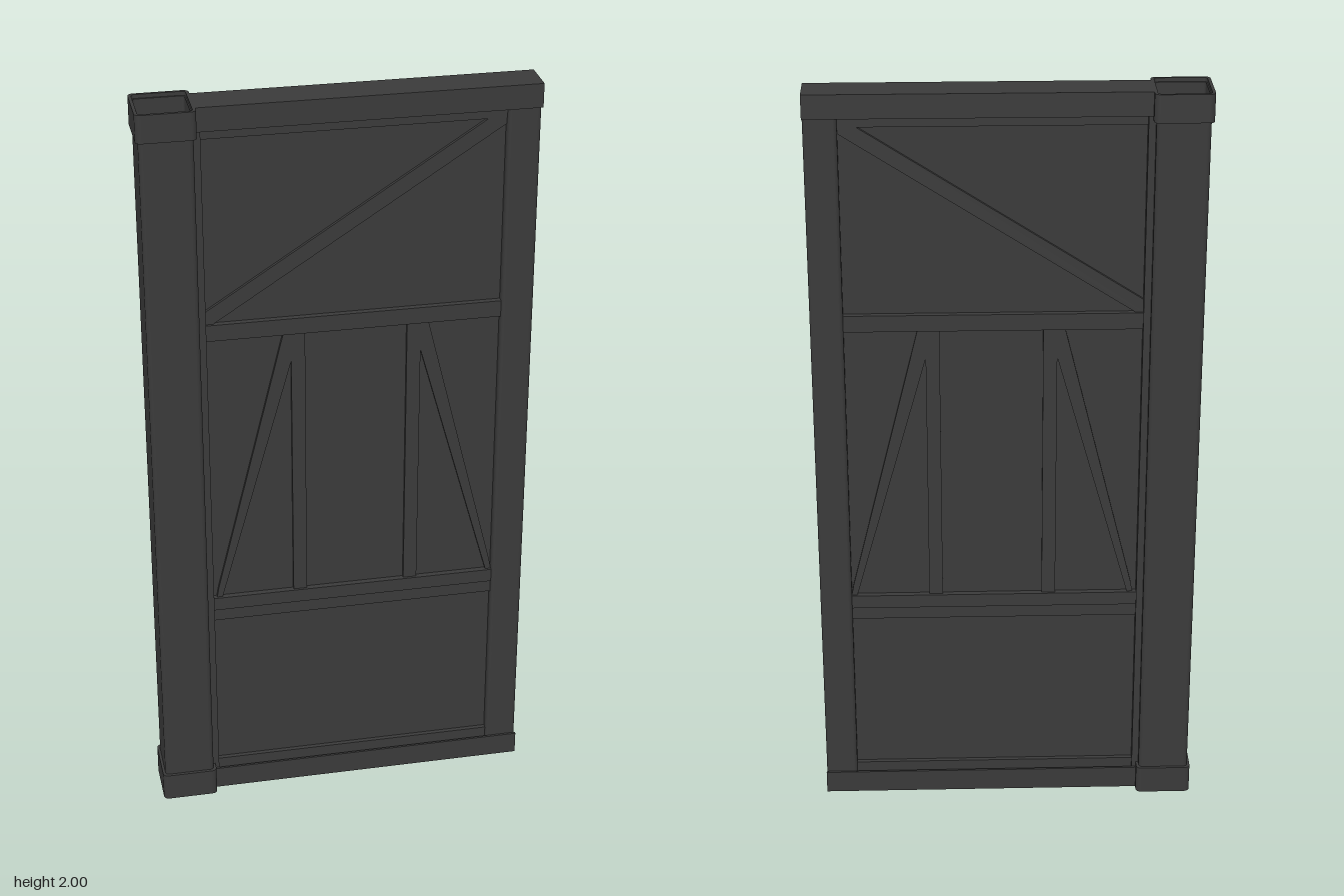
import * as THREE from 'three';

export function createModel() {
  const model = new THREE.Group();
  const mat = new THREE.MeshStandardMaterial({ color: 0x3a3a3a, side: THREE.DoubleSide });

  const add = (name, geo) => {
    const mesh = new THREE.Mesh(geo, mat);
    mesh.name = name;
    model.add(mesh);
    return mesh;
  };

  // box given by its x and y limits and its half depth
  const slab = (name, x0, x1, y0, y1, halfZ) => {
    const m = add(name, new THREE.BoxGeometry(x1 - x0, y1 - y0, halfZ * 2));
    m.position.set((x0 + x1) / 2, (y0 + y1) / 2, 0);
    return m;
  };

  // rounded rectangle outline, usable as a shape or a hole
  const outline = (Type, w, d, r) => {
    const p = new Type();
    const corners = [[w - r, d - r, 0], [r - w, d - r, 1], [r - w, r - d, 2], [w - r, r - d, 3]];
    corners.forEach(([x, y, q]) => p.absarc(x, y, r, q * Math.PI / 2, (q + 1) * Math.PI / 2, false));
    p.closePath();
    return p;
  };

  // upright hollow tube with rounded corners
  const tube = (name, x, y0, y1, halfW, halfD, r, wall) => {
    const s = outline(THREE.Shape, halfW, halfD, r);
    s.holes.push(outline(THREE.Path, halfW - wall, halfD - wall, r * 0.6));
    const g = new THREE.ExtrudeGeometry(s, { depth: y1 - y0, bevelEnabled: false, curveSegments: 4 });
    g.rotateX(-Math.PI / 2);
    add(name, g).position.set(x, y0, 0);
  };

  // flat brace through four front corners
  const brace = (name, pts, halfZ) => {
    const s = new THREE.Shape(pts.map(([x, y]) => new THREE.Vector2(x, y)));
    const g = new THREE.ExtrudeGeometry(s, { depth: halfZ * 2, bevelEnabled: false });
    g.translate(0, 0, -halfZ);
    add(name, g);
  };

  // U-shaped rail along x; its web lies on the outer edge
  const channel = (name, web, lip) => {
    const t = 0.006 * Math.sign(lip - web);
    const s = new THREE.Shape([
      [-0.05, web], [0.05, web], [0.05, lip], [0.044, lip],
      [0.044, web + t], [-0.044, web + t], [-0.044, lip], [-0.05, lip],
    ].map(([z, y]) => new THREE.Vector2(z, y)));
    const g = new THREE.ExtrudeGeometry(s, { depth: 0.857, bevelEnabled: false });
    g.rotateY(Math.PI / 2);
    add(name, g).position.x = -0.357;
  };

  // hollow post with a collar at each end
  tube('post', -0.43, 0.01, 1.99, 0.067, 0.067, 0.012, 0.004);
  tube('bottomCollar', -0.43, 0, 0.077, 0.074, 0.075, 0.014, 0.008);
  tube('topCollar', -0.43, 1.928, 2, 0.074, 0.075, 0.014, 0.008);

  // outer frame
  channel('topRail', 2, 1.938);
  channel('bottomRail', 0.002, 0.064);
  tube('outerStile', 0.457, 0.03, 1.96, 0.042, 0.042, 0.01, 0.005);
  slab('innerStile', -0.365, -0.345, 0.03, 1.96, 0.042);
  slab('stileTongue', -0.38, -0.362, 0.03, 1.96, 0.03);

  // infill panel with its edge trims
  slab('panel', -0.347, 0.417, 0.03, 1.96, 0.02);
  slab('topTrim', -0.345, 0.415, 1.912, 1.96, 0.032);
  slab('bottomTrim', -0.345, 0.415, 0.03, 0.085, 0.032);

  // cross rails
  slab('upperCrossRail', -0.345, 0.415, 1.374, 1.418, 0.036);
  slab('lowerCrossRail', -0.345, 0.415, 0.575, 0.612, 0.036);
  slab('lowerCrossTrim', -0.345, 0.415, 0.54, 0.575, 0.031);

  // single diagonal in the upper bay
  brace('upperDiagonal', [[-0.345, 1.418], [-0.325, 1.418], [0.415, 1.895],
    [0.415, 1.912], [0.37, 1.912], [-0.345, 1.452]], 0.029);

  // mirrored uprights and leaning braces in the middle bay
  const cx = 0.04;
  for (const side of [-1, 1]) {
    const a = cx + side * 0.132, b = cx + side * 0.168;
    slab('middleUpright', Math.min(a, b), Math.max(a, b), 0.612, 1.374, 0.029);
    brace('middleDiagonal', [[0.375, 0.612], [0.37, 0.64], [0.188, 1.374],
      [0.15, 1.374], [0.15, 1.36], [0.36, 0.612]].map(([x, y]) => [cx + side * x, y]), 0.029);
  }

  return model;
}
